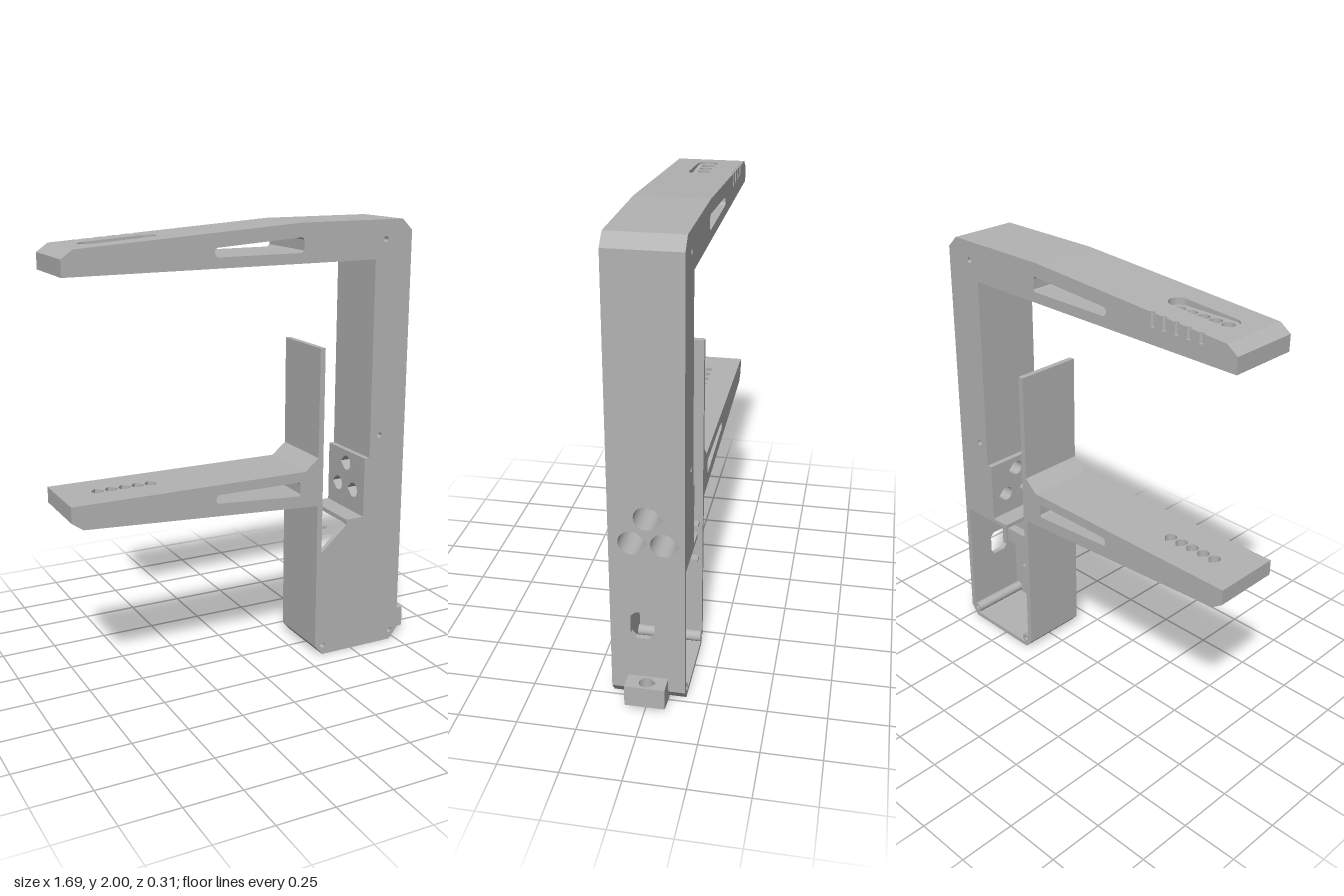
import * as THREE from 'three';

const D = 0.155; // half depth
const FINGERS = [-0.68, -0.62, -0.56, -0.5, -0.44];

const shapeOf = (pts) => new THREE.Shape(pts.map(([x, y]) => new THREE.Vector2(x, y)));
const pathOf = (pts) => new THREE.Path(pts.map(([x, y]) => new THREE.Vector2(x, y)));
const circle = (x, y, r) => new THREE.Path().absarc(x, y, r, 0, Math.PI * 2, false);

// Round hole with a pointed side in direction a
function teardrop(x, y, r, a) {
  const p = new THREE.Path();
  p.absarc(x, y, r, a + Math.PI / 4, a + Math.PI * 1.75, false);
  p.lineTo(x + Math.cos(a) * r * Math.SQRT2, y + Math.sin(a) * r * Math.SQRT2);
  p.closePath();
  return p;
}

function extrude(shape, depth, holes = []) {
  shape.holes = holes;
  return new THREE.ExtrudeGeometry(shape, { depth, bevelEnabled: false, curveSegments: 14 });
}
// Profile in x/y, running from z0 to z1
const alongZ = (shape, z0, z1, holes) => extrude(shape, z1 - z0, holes).translate(0, 0, z0);
// Profile in -z/y, running from x0 to x1
const alongX = (shape, x0, x1, holes) => extrude(shape, x1 - x0, holes).rotateY(Math.PI / 2).translate(x0, 0, 0);
// Profile in x/-z, with bottom and top heights given as functions of x
function alongY(shape, lo, hi, holes) {
  const g = extrude(shape, 1, holes).rotateX(-Math.PI / 2);
  const p = g.attributes.position;
  for (let i = 0; i < p.count; i++) {
    const x = p.getX(i), a = lo(x);
    p.setY(i, a + p.getY(i) * (hi(x) - a));
  }
  g.computeVertexNormals();
  return g;
}

// Plan of an arm tip, optionally with small notches along its back edge
function tipPlan(notched) {
  const s = new THREE.Shape();
  s.moveTo(-0.8, -D).lineTo(-0.36, -D).lineTo(-0.36, D);
  if (notched) for (const x of [...FINGERS].reverse()) {
    s.lineTo(x + 0.011, D);
    s.absarc(x, D, 0.011, 0, Math.PI, true);
  }
  s.lineTo(-0.8, D);
  s.closePath();
  return s;
}
const fingerHoles = () => FINGERS.map((x) => teardrop(x, 0, 0.026, Math.PI / 2));

export function createModel() {
  const root = new THREE.Group();
  root.name = 'clampFrame';
  const grey = new THREE.MeshStandardMaterial({ color: 0xb3b3b3 });
  grey.name = 'plainGrey';
  const add = (name, geometry) => {
    const m = new THREE.Mesh(geometry, grey);
    m.name = name;
    root.add(m);
    return m;
  };
  const box = (name, x0, x1, y0, y1, z0, z1) =>
    add(name, new THREE.BoxGeometry(x1 - x0, y1 - y0, z1 - z0)
      .translate((x0 + x1) / 2, (y0 + y1) / 2, (z0 + z1) / 2));

  // Upper arm and column, with blind screw holes on both faces
  const upperTop = (x) => 1.935 + (x + 0.8) * 0.065;
  const upperSlot = () => pathOf([[-0.2, 1.89], [-0.19, 1.875], [0.205, 1.875], [0.215, 1.885],
    [0.215, 1.93], [0.205, 1.94], [-0.19, 1.914], [-0.2, 1.905]]);
  const screws = () => [circle(0.625, 1.915, 0.012), circle(0.625, 1.032, 0.012)];
  for (const [z0, z1, drilled] of [[-D, -0.125, true], [-0.125, 0.125, false], [0.125, D, true]]) {
    add('upperArmAndColumn', alongZ(shapeOf([[-0.36, 1.83], [0.575, 1.83], [0.575, 0.93], [0.76, 0.93],
      [0.76, 1.95], [0.71, 2], [0.2, 2], [-0.36, upperTop(-0.36)]]), z0, z1,
      drilled ? [upperSlot(), ...screws()] : [upperSlot()]));
  }

  // Upper arm tip: finger holes, then notches, then a shallow recess
  const at = (v) => () => v;
  const recess = new THREE.Path();
  recess.absarc(-0.44, 0, 0.045, -Math.PI / 2, Math.PI / 2, false);
  recess.absarc(-0.68, 0, 0.045, Math.PI / 2, Math.PI * 1.5, false);
  recess.closePath();
  add('upperArmTip', alongY(tipPlan(false), at(1.83), at(1.9), fingerHoles()));
  add('upperArmTip', alongY(tipPlan(true), at(1.9), at(1.932), fingerHoles()));
  add('upperArmTip', alongY(tipPlan(true), at(1.932), upperTop, [recess]));
  add('upperArmEnd', alongZ(shapeOf([[-0.85, 1.83], [-0.8, 1.83], [-0.8, 1.935], [-0.85, 1.9]]), -D, D));

  // Lower arm
  const lowerBottom = (x) => 0.805 - (x + 0.8) * 0.0588;
  add('lowerArm', alongZ(shapeOf([[-0.36, lowerBottom(-0.36)], [0.305, 0.74], [0.305, 0.965],
    [0.24, 0.91], [-0.36, 0.91]]), -D, D,
    [pathOf([[-0.2, 0.835], [-0.19, 0.826], [0.205, 0.8], [0.215, 0.81], [0.215, 0.855],
      [0.205, 0.865], [-0.19, 0.865], [-0.2, 0.85]])]));
  add('lowerArmTip', alongY(tipPlan(false), lowerBottom, at(0.91), fingerHoles()));
  add('lowerArmEnd', alongZ(shapeOf([[-0.85, 0.84], [-0.8, 0.805], [-0.8, 0.91], [-0.85, 0.91]]), -D, D));

  // Column foot with three counterbored teardrop openings through it
  const ports = (r) => [[0, 0.87], [-0.064, 0.755], [0.068, 0.755]].map(([x, y]) => teardrop(x, y, r, 0));
  const foot = () => shapeOf([[-D, 0.65], [D, 0.65], [D, 0.93], [-D, 0.93]]);
  add('portBlockInner', alongX(foot(), 0.55, 0.6, ports(0.034)));
  add('portBlockOuter', alongX(foot(), 0.6, 0.76, ports(0.052)));

  // Housing, open at the back: front panel, walls, shelf and side wall
  const corners = [[0.345, 0.045], [0.72, 0.045]];
  const inner = 0.13;
  add('frontPanel', alongZ(shapeOf([[0.305, 1.46], [0.305, 0.045], [0.345, 0], [0.72, 0], [0.76, 0.05],
    [0.76, 0.65], [0.46, 0.65], [0.46, 0.625], [0.33, 0.51], [0.33, 1.46]]), inner, D,
    corners.map(([x, y]) => circle(x, y, 0.012))));
  add('thinWallAndFloor', alongZ(shapeOf([[0.305, 1.46], [0.305, 0.045], [0.345, 0], [0.72, 0], [0.76, 0.05],
    [0.735, 0.05], [0.71, 0.02], [0.355, 0.02], [0.33, 0.05], [0.33, 1.46]]), -D, inner));
  box('housingTop', 0.46, 0.76, 0.63, 0.65, -D, inner);
  add('housingSideWall', alongX(shapeOf([[-inner, 0.05], [D, 0.05], [D, 0.63], [-inner, 0.63]]), 0.735, 0.76,
    [pathOf([[-0.07, 0.325], [-0.05, 0.305], [0.01, 0.305], [0.03, 0.325], [0.03, 0.41],
      [0.01, 0.43], [-0.05, 0.43], [-0.07, 0.41]])]));

  // Inside: screw posts, cross bar and two rails
  for (const [x, y] of corners) {
    const ring = new THREE.Shape().absarc(x, y, 0.025, 0, Math.PI * 2, false);
    add('screwPostEnd', alongZ(ring, -D, -0.1, [circle(x, y, 0.012)]));
    add('screwPost', new THREE.CylinderGeometry(0.025, 0.025, inner + 0.1, 28)
      .rotateX(Math.PI / 2).translate(x, y, (inner - 0.1) / 2));
  }
  box('crossBar', 0.33, 0.735, 0.34, 0.415, 0.085, inner);
  for (const y of [0.615, 0.445]) box('rail', 0.33, 0.37, y, y + 0.013, -0.14, inner);

  // Loop bracket at the bottom, with a slightly rising underside
  add('loopBracket', alongY(shapeOf([[0.737, -0.085], [0.84, -0.085], [0.84, 0.085], [0.737, 0.085]]),
    (x) => 0.002 + (x - 0.737) * 0.18, at(0.115), [teardrop(0.8, 0, 0.03, Math.PI / 2)]));

  return root;
}
